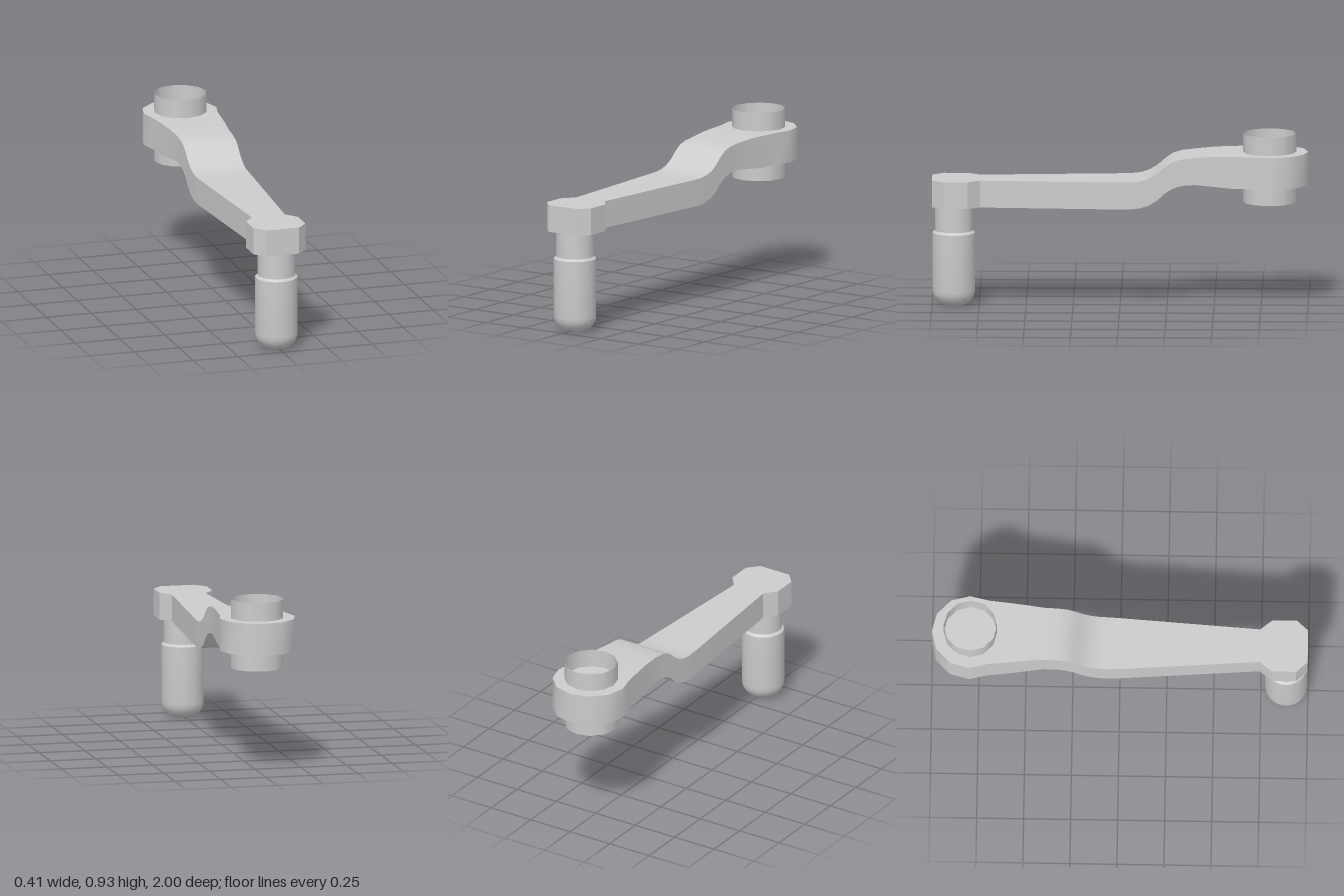
import * as THREE from 'three';
import { toCreasedNormals } from 'three/addons/utils/BufferGeometryUtils.js';

const mat = new THREE.MeshStandardMaterial({ color: 0xcccccc, side: THREE.DoubleSide });

// Crank arm cross-sections from front to back: z, half width, bottom, top
const sections = [
  [1, 0.09, 0.54, 0.685], [0.94, 0.145, 0.54, 0.685],
  [0.81, 0.145, 0.54, 0.685], [0.745, 0.092, 0.54, 0.685],
  [0, 0.144, 0.54, 0.685], [-0.06, 0.147, 0.541, 0.686],
  [-0.11, 0.147, 0.548, 0.692], [-0.155, 0.147, 0.562, 0.706],
  [-0.2, 0.147, 0.59, 0.734], [-0.24, 0.147, 0.628, 0.77],
  [-0.28, 0.147, 0.653, 0.797], [-0.33, 0.147, 0.669, 0.812],
  [-0.4, 0.147, 0.674, 0.82], [-0.5, 0.158, 0.666, 0.828],
  [-0.59, 0.168, 0.658, 0.83], [-0.7, 0.18, 0.657, 0.83],
  [-0.8, 0.203, 0.657, 0.83], [-0.9, 0.177, 0.657, 0.83],
  [-0.975, 0.1, 0.657, 0.83], [-1, 0.002, 0.657, 0.83],
];

function armGeometry() {
  const pos = [], idx = [0, 1, 2, 0, 2, 3];
  sections.forEach(([z, w, b, t], i) => {
    pos.push(-w, b, z, w, b, z, w, t, z, -w, t, z);
    if (i === 0) return;
    for (let k = 0; k < 4; k++) {
      const n = (k + 1) % 4, p = (i - 1) * 4, q = i * 4;
      idx.push(p + k, q + n, p + n, p + k, q + k, q + n);
    }
  });
  const e = (sections.length - 1) * 4;
  idx.push(e, e + 2, e + 1, e, e + 3, e + 2);
  const g = new THREE.BufferGeometry();
  g.setAttribute('position', new THREE.Float32BufferAttribute(pos, 3));
  g.setIndex(idx);
  return toCreasedNormals(g, 0.65);
}

export function createModel() {
  const group = new THREE.Group();
  const add = (name, geometry, y = 0, z = 0) => {
    const mesh = new THREE.Mesh(geometry, mat);
    mesh.name = name;
    mesh.position.set(0, y, z);
    group.add(mesh);
  };

  add('crankArm', armGeometry());

  // Axle boss: open collar above the arm, closed stub below
  add('axleCollar', new THREE.CylinderGeometry(0.142, 0.142, 0.11, 12, 1, true), 0.875, -0.795);
  add('axleStub', new THREE.CylinderGeometry(0.142, 0.142, 0.11, 12), 0.615, -0.795);

  // Handle: rounded grip, small chamfer, narrower neck
  const profile = [new THREE.Vector2(0, 0), new THREE.Vector2(0.035, 0)];
  for (let i = 1; i <= 6; i++) {
    const a = (i / 6) * Math.PI / 2;
    profile.push(new THREE.Vector2(0.035 + 0.078 * Math.sin(a), 0.08 - 0.08 * Math.cos(a)));
  }
  profile.push(
    new THREE.Vector2(0.113, 0.39), new THREE.Vector2(0.1, 0.402),
    new THREE.Vector2(0.1, 0.545));
  add('handle', toCreasedNormals(new THREE.LatheGeometry(profile, 32), 0.6), 0, 0.885);

  return group;
}
